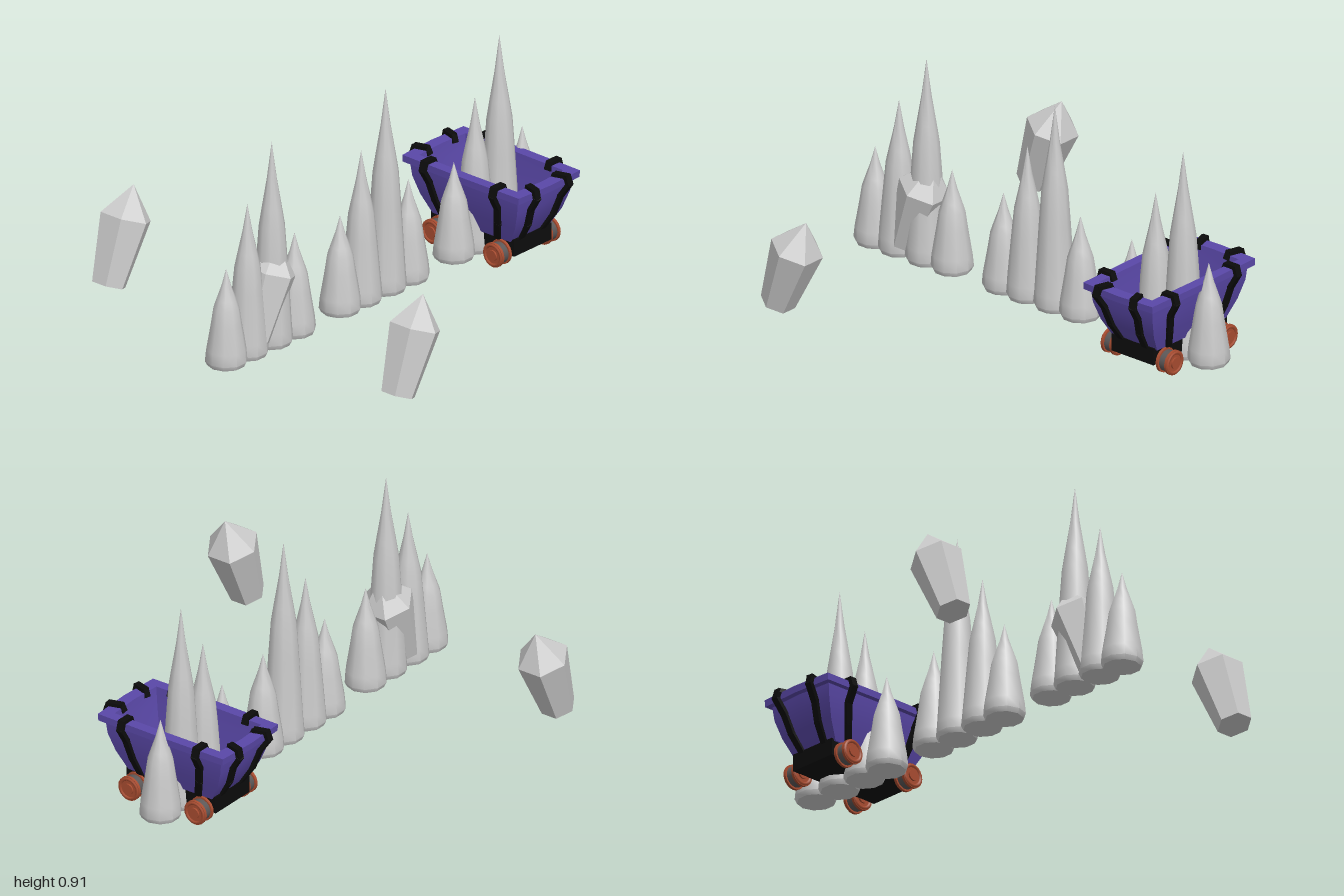
import * as THREE from 'three';
import { toCreasedNormals } from 'three/addons/utils/BufferGeometryUtils.js';

const mat = (name, color) => {
  const m = new THREE.MeshStandardMaterial({ color });
  m.name = name;
  return m;
};

function mesh(name, geometry, material, x = 0, y = 0, z = 0) {
  const m = new THREE.Mesh(geometry, material);
  m.name = name;
  m.position.set(x, y, z);
  return m;
}

// Rock spike: broad rounded foot, shoulder, then a slim point
function spikeGeometry(h) {
  const profile = [
    [0, 0], [0.08, 0], [0.09, 0.02], [0.085, 0.07], [0.066, 0.42 * h],
    [0.055, 0.59 * h], [0.042, 0.68 * h], [0.021, 0.82 * h], [0, h],
  ].map(([r, y]) => new THREE.Vector2(r, y));
  return toCreasedNormals(new THREE.LatheGeometry(profile, 10), 0.8);
}

// Six-sided crystal with its foot at the origin
function crystalGeometry() {
  const profile = [[0, 0], [0.075, 0], [0.113, 0.292], [0, 0.43]]
    .map(([r, y]) => new THREE.Vector2(r, y));
  const g = new THREE.LatheGeometry(profile, 6, Math.PI / 2);
  return toCreasedNormals(g, 0.05);
}

// Loft of rectangular rings with slightly bulging ends: [halfX, halfZ, y]
function tubGeometry(levels) {
  const ring = [[1.03, 0], [1, 1], [0, 1.02], [-1, 1], [-1.03, 0], [-1, -1], [0, -1.02], [1, -1]];
  const n = ring.length, pos = [], index = [];
  for (const [hx, hz, y] of levels)
    for (const [x, z] of ring) pos.push(x * hx, y, z * hz);
  for (let j = 0; j < levels.length - 1; j++)
    for (let i = 0; i < n; i++) {
      const a = j * n + i, b = j * n + (i + 1) % n;
      index.push(a, a + n, b, b, a + n, b + n);
    }
  const g = new THREE.BufferGeometry();
  g.setAttribute('position', new THREE.Float32BufferAttribute(pos, 3));
  g.setIndex(index);
  return toCreasedNormals(g, 0.6);
}

// Strap made of short flat bars following a path; across = direction of its width
function strap(points, across, material) {
  const group = new THREE.Group();
  group.name = 'strap';
  for (let i = 0; i < points.length - 1; i++) {
    const a = points[i], b = points[i + 1];
    const dir = b.clone().sub(a), len = dir.length();
    const y = dir.normalize();
    const z = across.clone().cross(y).normalize();
    const x = y.clone().cross(z);
    const bar = mesh('strapBar', new THREE.BoxGeometry(0.03, len + 0.012, 0.018), material);
    bar.quaternion.setFromRotationMatrix(new THREE.Matrix4().makeBasis(x, y, z));
    bar.position.copy(a).add(b).multiplyScalar(0.5);
    group.add(bar);
  }
  return group;
}

export function createModel() {
  const stone = mat('stone grey', 0xcbcbcb);
  const purple = mat('purple', 0x5a48a8);
  const black = mat('black', 0x0c0c0c);
  const rust = mat('rust', 0xa84c30);
  const iron = mat('iron grey', 0x5c5858);
  const model = new THREE.Group();
  model.name = 'mineScene';

  // Three rows of four spikes
  const spikes = [[0.21, 0.43], [0.08, 0.68], [-0.07, 0.91], [-0.21, 0.45]]
    .map(([z, h]) => [z, spikeGeometry(h)]);
  for (const cz of [0.7, 0, -0.7]) {
    const row = new THREE.Group();
    row.name = 'spikeRow';
    for (const [z, g] of spikes) row.add(mesh('spike', g, stone, 0, 0.005, cz + z));
    model.add(row);
  }

  // Three crystals leaning back
  const crystal = crystalGeometry();
  for (const x of [-0.8, 0, 0.8]) {
    const c = mesh('crystal', crystal, stone, x, 0.057, 0.743);
    c.rotation.x = -0.365;
    model.add(c);
  }

  // Cart
  const cart = new THREE.Group();
  cart.name = 'cart';
  cart.position.set(0.013, 0, -0.705);
  model.add(cart);
  cart.add(mesh('tub', tubGeometry([
    [0, 0, 0.11], [0.215, 0.122, 0.11], [0.262, 0.145, 0.19], [0.29, 0.163, 0.27],
    [0.298, 0.168, 0.33], [0.32, 0.188, 0.332], [0.322, 0.188, 0.362], [0.27, 0.142, 0.362],
    [0.262, 0.136, 0.3], [0.228, 0.11, 0.15], [0, 0, 0.15],
  ]), purple));
  cart.add(mesh('floor', new THREE.BoxGeometry(0.45, 0.02, 0.21), black, 0, 0.153, 0));
  cart.add(mesh('chassis', new THREE.BoxGeometry(0.46, 0.075, 0.23), black, 0, 0.083, 0));

  // Straps hooked over the rim, two on each side and end
  const path = [[-0.055, 0.345], [-0.045, 0.369], [0.005, 0.369], [0.015, 0.335]];
  for (const s of [-1, 1]) for (const t of [-1, 1]) {
    const side = path.map(([o, y]) => new THREE.Vector3(s * 0.192, y, t * (0.192 + o)));
    for (const [x, y, z] of [[0.188, 0.27, 0.17], [0.172, 0.19, 0.151], [0.15, 0.115, 0.125]])
      side.push(new THREE.Vector3(s * x, y, t * z));
    cart.add(strap(side, new THREE.Vector3(1, 0, 0), black));

    const end = path.map(([o, y]) => new THREE.Vector3(s * (0.328 + o), y, t * (0.095 + o * 0.3)));
    for (const [x, y, z] of [[0.3, 0.27, 0.09], [0.272, 0.19, 0.078], [0.222, 0.115, 0.065]])
      end.push(new THREE.Vector3(s * x, y, t * z));
    cart.add(strap(end, new THREE.Vector3(0, 0, 1), black));
  }

  // Flanged wheels
  const disc = (r, h) => new THREE.CylinderGeometry(r, r, h, 20).rotateX(Math.PI / 2);
  const flange = disc(0.054, 0.012), tread = disc(0.046, 0.045), hub = disc(0.024, 0.012);
  const lip = new THREE.TorusGeometry(0.044, 0.009, 6, 20);
  for (const x of [-0.17, 0.17]) for (const t of [-1, 1]) {
    const wheel = new THREE.Group();
    wheel.name = 'wheel';
    wheel.position.set(x, 0.056, t * 0.15);
    wheel.add(mesh('tread', tread, iron));
    for (const e of [-1, 1]) {
      wheel.add(mesh('flange', flange, rust, 0, 0, e * 0.023));
      wheel.add(mesh('wheelLip', lip, rust, 0, 0, e * 0.026));
      wheel.add(mesh('hub', hub, rust, 0, 0, e * 0.03));
    }
    cart.add(wheel);
  }
  return model;
}
